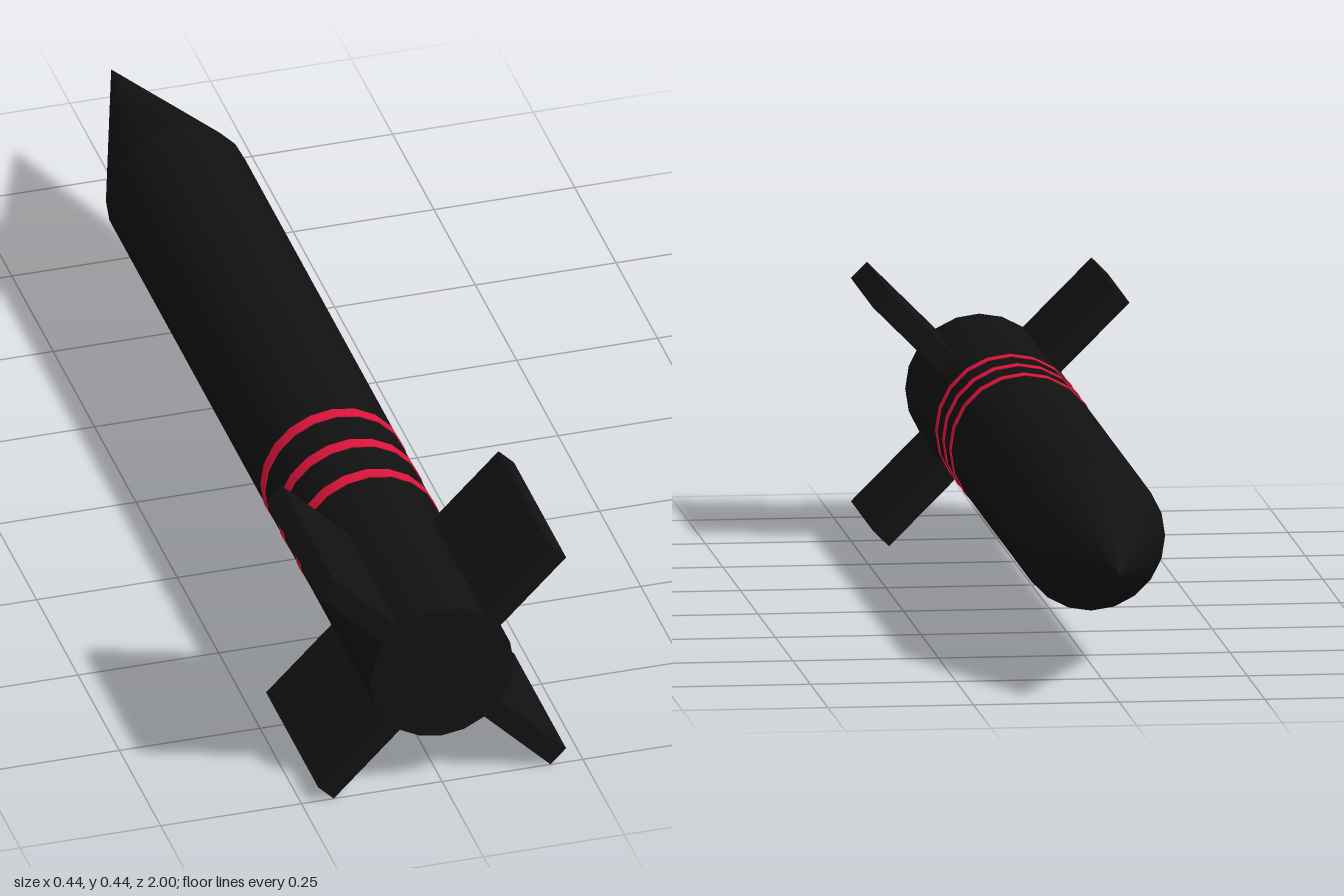
import * as THREE from 'three';

const SIDES = 20;
const RADIUS = 0.127;
const AXIS_Y = 0.222;

export function createModel() {
  const black = new THREE.MeshStandardMaterial({ color: 0x111111 });
  black.name = 'matte black';
  const red = new THREE.MeshStandardMaterial({ color: 0xdc143c });
  red.name = 'crimson';

  const model = new THREE.Group();
  model.name = 'rocket';
  const add = (name, geometry, material) => {
    const mesh = new THREE.Mesh(geometry, material);
    mesh.name = name;
    mesh.position.y = AXIS_Y;
    model.add(mesh);
    return mesh;
  };

  // Body tube with a flat tail, lying along z
  add('body', new THREE.CylinderGeometry(RADIUS, RADIUS, 1.6, SIDES)
    .rotateX(Math.PI / 2).translate(0, 0, 0.2), black);

  // Pointed nose towards the back
  add('noseCone', new THREE.ConeGeometry(RADIUS, 0.4, SIDES, 1, true)
    .rotateX(-Math.PI / 2).translate(0, 0, -0.8), black);

  // Three painted bands, just proud of the body
  [0.35, 0.45, 0.55].forEach((z, i) => {
    add(`band${i + 1}`, new THREE.CylinderGeometry(RADIUS + 0.0015, RADIUS + 0.0015, 0.025, SIDES)
      .rotateX(Math.PI / 2).translate(0, 0, z), red);
  });

  // Four diagonal tail fins
  for (let i = 0; i < 4; i++) {
    const fin = add(`fin${i + 1}`, new THREE.BoxGeometry(0.192, 0.039, 0.315)
      .translate(0.196, 0, 0.8425), black);
    fin.rotation.z = Math.PI / 4 + i * Math.PI / 2;
  }

  return model;
}
